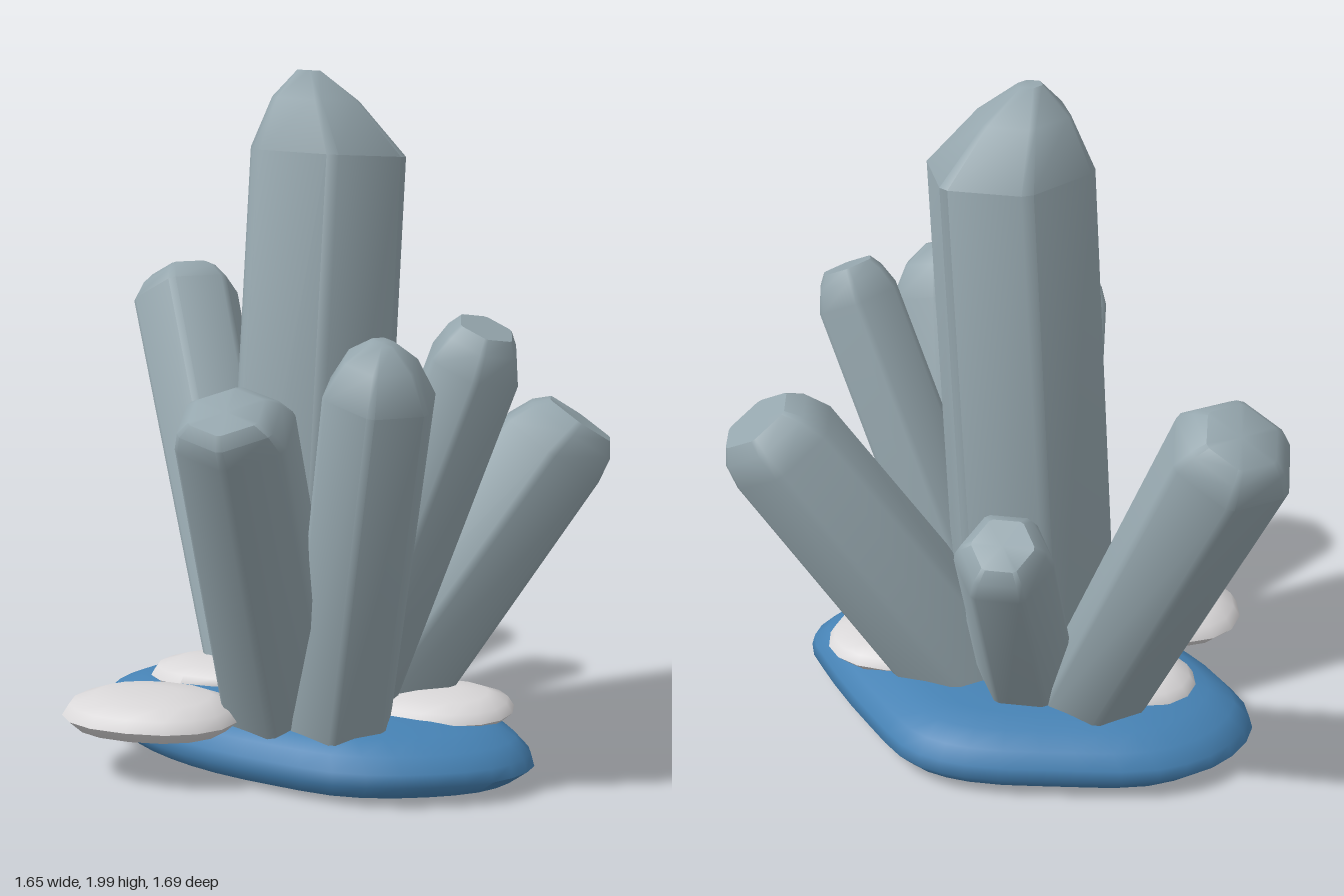
import * as THREE from 'three';
import { toCreasedNormals } from 'three/addons/utils/BufferGeometryUtils.js';

const V = (a) => new THREE.Vector3(...a);

// Closed skin over a stack of rings (each ring an array of Vector3, lowest first)
function loft(rings, crease) {
  const n = rings[0].length;
  const pts = rings.flat();
  const index = [];
  for (let j = 0; j < rings.length - 1; j++) {
    for (let i = 0; i < n; i++) {
      const a = j * n + i, b = j * n + (i + 1) % n;
      index.push(a, a + n, b, b, a + n, b + n);
    }
  }
  // end caps
  const centre = (ring) => ring.reduce((s, p) => s.add(p), new THREE.Vector3()).divideScalar(n);
  const low = pts.length, high = low + 1, top = (rings.length - 1) * n;
  pts.push(centre(rings[0]), centre(rings[rings.length - 1]));
  for (let i = 0; i < n; i++) {
    const k = (i + 1) % n;
    index.push(low, i, k, high, top + k, top + i);
  }
  const geo = new THREE.BufferGeometry().setFromPoints(pts);
  geo.setIndex(index);
  return toCreasedNormals(geo, crease);
}

// Six-sided crystal with softened edges and a bevelled point
function crystalGeometry({ base, shoulder, tip, r0, r1, cap, bulge, turn }) {
  const b = V(base), s = V(shoulder), t = V(tip);
  const axis = s.clone().sub(b).normalize();
  const u = axis.clone().cross(V([0, 0, 1])).normalize();
  const v = u.clone().cross(axis);
  const ring = (c, r) => {
    const out = [];
    for (let i = 0; i < 6; i++) {
      for (const d of [-0.07, 0.07]) {
        const a = turn + (i * Math.PI) / 3 + d;
        out.push(c.clone().addScaledVector(u, r * Math.cos(a)).addScaledVector(v, r * Math.sin(a)));
      }
    }
    return out;
  };
  return loft([
    ring(b, r0),
    ring(s, r1),
    ring(s.clone().lerp(t, 0.65), r1 * bulge),
    ring(t, r1 * cap),
  ], 0.75);
}

// Rounded slab: an outline repeated at several heights and scales
function slabGeometry(outline, centre, layers) {
  return loft(layers.map(([y, k]) => outline.map(([x, z]) =>
    new THREE.Vector3(centre[0] + (x - centre[0]) * k, y, centre[1] + (z - centre[1]) * k))), 1.2);
}

export function createModel() {
  const group = new THREE.Group();
  const material = (name, color) => {
    const m = new THREE.MeshStandardMaterial({ color });
    m.name = name;
    return m;
  };
  const crystalGrey = material('crystal grey', 0x95a6ad);
  const rockBlue = material('rock blue', 0x4682b4);
  const stoneWhite = material('stone white', 0xdad8d9);
  const add = (name, geo, mat) => {
    const mesh = new THREE.Mesh(geo, mat);
    mesh.name = name;
    group.add(mesh);
  };

  // Rock base with an irregular rounded outline, run clockwise from the +x end
  const control = [
    [0.69, 0.15], [0.64, 0.3], [0.48, 0.42], [0.25, 0.49], [0, 0.45], [-0.25, 0.37], [-0.47, 0.24],
    [-0.63, 0.08], [-0.72, -0.1], [-0.65, -0.3], [-0.48, -0.43], [-0.2, -0.48],
    [0.08, -0.5], [0.25, -0.45], [0.4, -0.29], [0.6, -0.02],
  ];
  const curve = new THREE.CatmullRomCurve3(control.map(([x, z]) => V([x, 0, z])), true);
  const outline = curve.getPoints(40).slice(0, 40).map((p) => [p.x, p.z]);
  add('rockBase', slabGeometry(outline, [-0.01, 0], [
    [0.01, 0.72], [0.028, 0.92], [0.07, 1], [0.105, 0.985], [0.145, 0.92], [0.178, 0.81], [0.195, 0.66], [0.2, 0.4],
  ]), rockBlue);

  // Crystals
  const crystals = {
    mainCrystal: { base: [-0.05, 0.12, 0.03], shoulder: [0.022, 1.77, -0.03], tip: [-0.03, 2, -0.02],
      r0: 0.25, r1: 0.24, cap: 0.15, bulge: 0.56, turn: 0.16 },
    backRightCrystal: { base: [-0.22, 0.12, -0.14], shoulder: [-0.665, 1.26, -0.69], tip: [-0.69, 1.33, -0.725],
      r0: 0.155, r1: 0.172, cap: 0.6, bulge: 0.8, turn: 0.3 },
    backCrystal: { base: [-0.05, 0.12, -0.08], shoulder: [-0.055, 0.84, -0.585], tip: [-0.06, 0.91, -0.63],
      r0: 0.145, r1: 0.137, cap: 0.62, bulge: 0.85, turn: 0 },
    leftCrystal: { base: [0.13, 0.12, -0.025], shoulder: [0.66, 0.925, -0.175], tip: [0.735, 1.01, -0.19],
      r0: 0.19, r1: 0.178, cap: 0.65, bulge: 0.86, turn: 0.4 },
    frontLeftUpperCrystal: { base: [0.09, 0.12, 0.08], shoulder: [0.535, 1.22, 0.265], tip: [0.565, 1.32, 0.265],
      r0: 0.14, r1: 0.135, cap: 0.6, bulge: 0.8, turn: 0.2 },
    frontLeftCrystal: { base: [0.145, 0.12, 0.26], shoulder: [0.335, 1.16, 0.505], tip: [0.35, 1.305, 0.53],
      r0: 0.15, r1: 0.158, cap: 0.22, bulge: 0.66, turn: 0.35 },
    frontCrystal: { base: [-0.03, 0.12, 0.18], shoulder: [-0.01, 1.07, 0.67], tip: [-0.01, 1.135, 0.74],
      r0: 0.178, r1: 0.166, cap: 0.62, bulge: 0.86, turn: 0.4 },
  };
  for (const [name, spec] of Object.entries(crystals)) add(name, crystalGeometry(spec), crystalGrey);

  // Flat pebbles: [name, x, y, z, half width, half height, half depth]
  const pebbles = [
    ['frontPebble', -0.38, 0.19, 0.355, 0.26, 0.06, 0.205],
    ['rightPebble', -0.3, 0.195, -0.08, 0.245, 0.05, 0.165],
    ['leftPebble', 0.38, 0.19, 0.04, 0.22, 0.05, 0.19],
  ];
  for (const [name, x, y, z, rx, ry, rz] of pebbles) {
    const soft = (t) => Math.sign(t) * Math.abs(t) ** 0.88;
    const rim = [];
    for (let i = 0; i < 16; i++) {
      const a = (i * Math.PI) / 8;
      rim.push([x + rx * soft(Math.cos(a)), z + rz * soft(Math.sin(a))]);
    }
    add(name, slabGeometry(rim, [x, z], [
      [y - ry, 0.5], [y - ry * 0.65, 0.85], [y - ry * 0.1, 1], [y + ry * 0.45, 0.92], [y + ry * 0.85, 0.66], [y + ry, 0.3],
    ]), stoneWhite);
  }
  return group;
}
